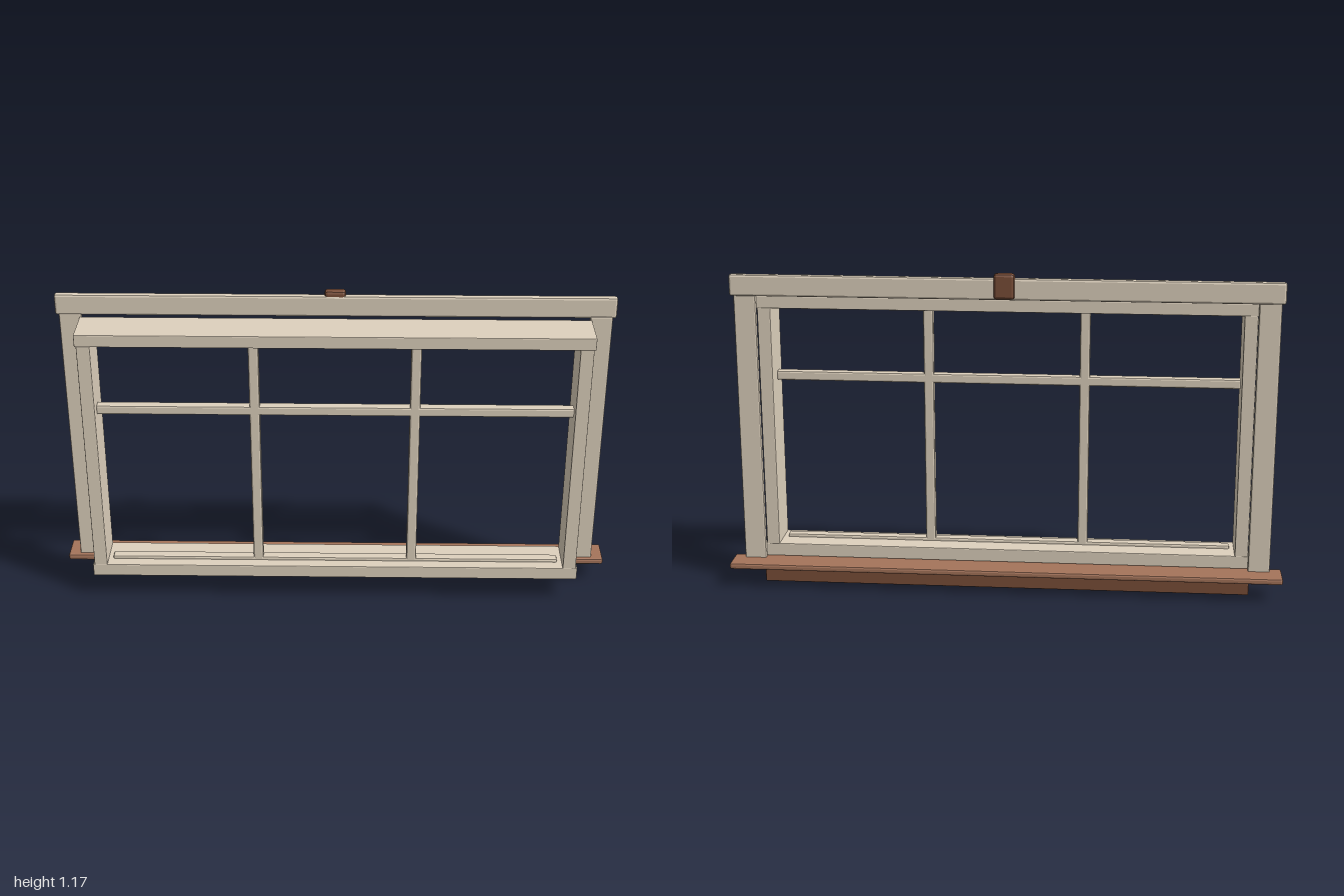
import * as THREE from 'three';
import { RoundedBoxGeometry } from 'three/addons/geometries/RoundedBoxGeometry.js';

const material = (color) => new THREE.MeshStandardMaterial({ color, flatShading: true });

export function createModel() {
  const model = new THREE.Group();
  const cream = material(0xded1bd);
  const wood = material(0xa5745a);
  const darkWood = material(0x7a4e38);

  // Bevelled board given by its limits on each axis
  function board(name, mat, [x0, x1], [y0, y1], [z0, z1], bevel = 0.003) {
    const geometry = new RoundedBoxGeometry(x1 - x0, y1 - y0, z1 - z0, 1, bevel);
    const mesh = new THREE.Mesh(geometry, mat);
    mesh.position.set((x0 + x1) / 2, (y0 + y1) / 2, (z0 + z1) / 2);
    mesh.name = name;
    model.add(mesh);
  }

  // Deep box frame
  const depth = [-0.028, 0.122];
  board('frameHead', cream, [-0.885, 0.885], [1.025, 1.07], depth);
  board('frameBottom', cream, [-0.885, 0.885], [0.095, 0.143], depth);

  // Side jambs and flat casings behind them
  for (const [side, s] of [['left', 1], ['right', -1]]) {
    const span = (a, b) => (s > 0 ? [a, b] : [-b, -a]);
    board(side + 'Jamb', cream, span(0.832, 0.879), [0.14, 1.028], depth);
    board(side + 'Casing', cream, span(0.879, 0.957), [0.06, 1.08], [-0.05, -0.029], 0.005);
  }

  // Glazing bars
  const barDepth = [0.046, 0.082];
  for (const x of [-0.28, 0.28]) {
    board('verticalBar', cream, [x - 0.018, x + 0.018], [0.135, 1.032], barDepth, 0.006);
  }
  board('horizontalBar', cream, [-0.835, 0.835], [0.745, 0.779], barDepth, 0.006);
  board('bottomBead', cream, [-0.815, 0.815], [0.12, 0.155], barDepth, 0.006);

  // Header with its central block
  board('header', cream, [-0.97, 0.97], [1.073, 1.15], [-0.058, -0.032], 0.008);
  board('centreBlock', darkWood, [-0.037, 0.037], [1.077, 1.167], [-0.068, -0.034], 0.01);

  // Sill and apron
  board('sill', wood, [-1, 1], [0.071, 0.094], [-0.122, -0.014], 0.007);
  board('apron', darkWood, [-0.885, 0.885], [0, 0.075], [-0.046, -0.029], 0.004);

  return model;
}
